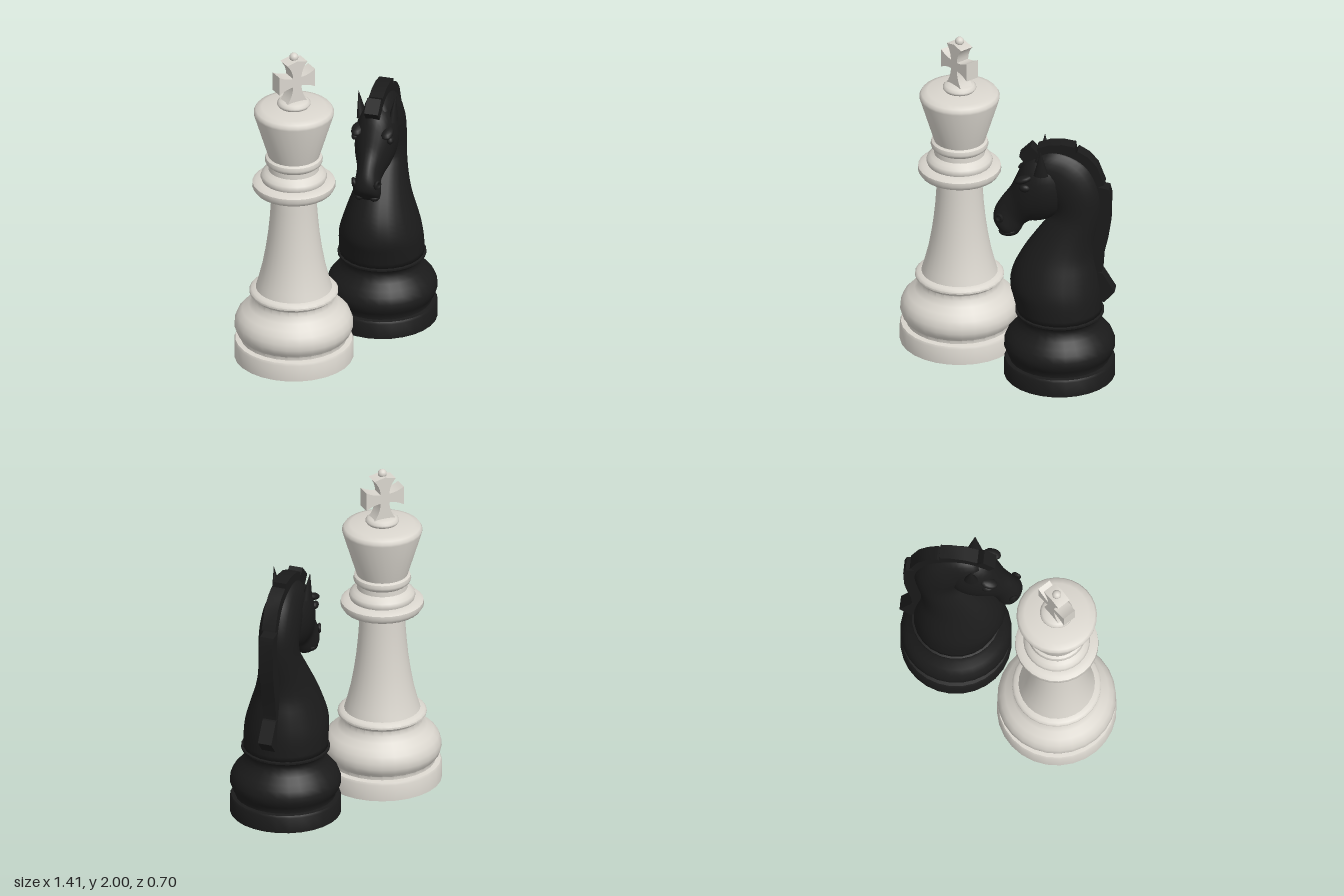
import * as THREE from 'three';
import { toCreasedNormals } from 'three/addons/utils/BufferGeometryUtils.js';

const ivory = new THREE.MeshStandardMaterial({ color: 0xdad6ce });
ivory.name = 'ivory';
const ebony = new THREE.MeshStandardMaterial({ color: 0x1b1b1b });
ebony.name = 'ebony';
const felt = new THREE.MeshStandardMaterial({ color: 0x3a372f });
felt.name = 'felt';

function add(parent, name, geometry, material, x = 0, y = 0, z = 0) {
  const mesh = new THREE.Mesh(geometry, material);
  mesh.name = name;
  mesh.position.set(x, y, z);
  parent.add(mesh);
  return mesh;
}

// Turned part from [radius, height] pairs, bottom to top
function turned(profile) {
  const points = profile.map(([r, y]) => new THREE.Vector2(r, y));
  return toCreasedNormals(new THREE.LatheGeometry(points, 28), 0.75);
}

// Smooth body through elliptical sections [topX, topY, bottomX, bottomY, halfWidth]
function loft(sections, sides = 24, steps = 3) {
  const tops = new THREE.CatmullRomCurve3(
    sections.map((s) => new THREE.Vector3(s[0], s[1], s[4])), false, 'catmullrom');
  const bottoms = new THREE.CatmullRomCurve3(
    sections.map((s) => new THREE.Vector3(s[2], s[3], 0)), false, 'catmullrom');
  const rings = (sections.length - 1) * steps;
  const positions = [], index = [], caps = [];
  for (let i = 0; i <= rings; i++) {
    const p = tops.getPoint(i / rings), q = bottoms.getPoint(i / rings);
    const cx = (p.x + q.x) / 2, cy = (p.y + q.y) / 2;
    if (i === 0 || i === rings) caps.push(cx, cy, 0);
    for (let j = 0; j < sides; j++) {
      const a = (j / sides) * Math.PI * 2, c = Math.cos(a);
      positions.push(cx + c * (p.x - cx), cy + c * (p.y - cy), Math.sin(a) * p.z);
      const k = i * sides + j, n = i * sides + ((j + 1) % sides);
      if (i < rings) index.push(k, n, k + sides, n, n + sides, k + sides);
    }
  }
  const first = positions.length / 3, last = rings * sides;
  positions.push(...caps);
  for (let j = 0; j < sides; j++) {
    const n = (j + 1) % sides;
    index.push(first, n, j, first + 1, last + j, last + n);
  }
  const geometry = new THREE.BufferGeometry();
  geometry.setAttribute('position', new THREE.Float32BufferAttribute(positions, 3));
  geometry.setIndex(index);
  geometry.computeVertexNormals();
  return geometry;
}

function slab(shape, depth) {
  const g = new THREE.ExtrudeGeometry(shape, { depth, bevelEnabled: false, curveSegments: 6 });
  g.translate(0, 0, -depth / 2);
  return toCreasedNormals(g, 0.5);
}

function feltPad(parent, radius) {
  add(parent, 'feltPad', new THREE.CircleGeometry(radius, 28), felt).rotation.x = Math.PI / 2;
}

function makeKing() {
  const king = new THREE.Group();
  king.name = 'king';
  feltPad(king, 0.352);
  add(king, 'kingBase', turned([
    [0.352, 0], [0.352, 0.1], [0.345, 0.115], [0.315, 0.12], [0.315, 0.14], [0.338, 0.165],
    [0.35, 0.2], [0.348, 0.235], [0.333, 0.275], [0.305, 0.305], [0.265, 0.335], [0.24, 0.365],
    [0.235, 0.395], [0.245, 0.41], [0.262, 0.42], [0.262, 0.432], [0.25, 0.445], [0.225, 0.452],
  ]), ivory);
  add(king, 'kingShaft', turned([
    [0.225, 0.45], [0.21, 0.5], [0.185, 0.6], [0.167, 0.7], [0.153, 0.8], [0.143, 0.9],
    [0.136, 1], [0.132, 1.1],
  ]), ivory);
  add(king, 'kingCollar', turned([
    [0.13, 1.085], [0.2, 1.088], [0.23, 1.1], [0.246, 1.125], [0.244, 1.15], [0.225, 1.163],
    [0.19, 1.168], [0.196, 1.185], [0.19, 1.205], [0.17, 1.22], [0.15, 1.235], [0.148, 1.265],
    [0.166, 1.28], [0.171, 1.295], [0.166, 1.315], [0.15, 1.325],
  ]), ivory);
  add(king, 'kingHead', turned([
    [0.15, 1.32], [0.236, 1.6], [0.237, 1.615], [0.225, 1.633], [0.19, 1.645], [0.09, 1.653],
    [0.099, 1.665], [0.098, 1.675], [0.085, 1.688], [0.06, 1.695], [0, 1.7],
  ]), ivory);

  // Flared cross with concave arms
  const s = new THREE.Shape();
  s.moveTo(0.068, 0.122);
  s.quadraticCurveTo(0.03, 0.08, 0.028, 0.028);
  s.quadraticCurveTo(0.075, 0.03, 0.12, 0.058);
  s.lineTo(0.12, -0.058);
  s.quadraticCurveTo(0.075, -0.03, 0.028, -0.028);
  s.quadraticCurveTo(0.03, -0.085, 0.066, -0.135);
  s.lineTo(-0.066, -0.135);
  s.quadraticCurveTo(-0.03, -0.085, -0.028, -0.028);
  s.quadraticCurveTo(-0.075, -0.03, -0.12, -0.058);
  s.lineTo(-0.12, 0.058);
  s.quadraticCurveTo(-0.075, 0.03, -0.028, 0.028);
  s.quadraticCurveTo(-0.03, 0.08, -0.068, 0.122);
  s.lineTo(0, 0.138);
  add(king, 'cross', slab(s, 0.085), ivory, 0, 1.825, 0).rotation.y = -0.27;
  add(king, 'crossBall', new THREE.SphereGeometry(0.027, 14, 10), ivory, 0, 1.973, 0);
  return king;
}

// Built with the nose towards local +x
function makeKnight() {
  const knight = new THREE.Group();
  knight.name = 'knight';
  feltPad(knight, 0.328);
  add(knight, 'knightBase', turned([
    [0.328, 0], [0.328, 0.095], [0.32, 0.108], [0.297, 0.112], [0.297, 0.13], [0.315, 0.155],
    [0.328, 0.19], [0.327, 0.22], [0.312, 0.26], [0.287, 0.29], [0.255, 0.325], [0.236, 0.355],
    [0.232, 0.38], [0.243, 0.4], [0.262, 0.412], [0.262, 0.422], [0.24, 0.428], [0, 0.43],
  ]), ebony);

  add(knight, 'neck', loft([
    [-0.25, 0.42, 0.25, 0.42, 0.25], [-0.25, 0.52, 0.275, 0.52, 0.25],
    [-0.245, 0.6, 0.293, 0.6, 0.24], [-0.23, 0.7, 0.273, 0.7, 0.21],
    [-0.21, 0.8, 0.225, 0.8, 0.176], [-0.215, 0.9, 0.16, 0.9, 0.148],
    [-0.235, 1, 0.088, 1, 0.126], [-0.25, 1.1, 0.05, 1.05, 0.116],
    [-0.25, 1.2, 0.04, 1.1, 0.115], [-0.225, 1.3, 0.06, 1.15, 0.115],
    [-0.17, 1.4, 0.09, 1.18, 0.11], [-0.08, 1.465, 0.12, 1.2, 0.1],
    [0.03, 1.49, 0.15, 1.22, 0.095], [0.13, 1.46, 0.18, 1.28, 0.07],
  ]), ebony);

  add(knight, 'head', loft([
    [-0.05, 1.33, -0.03, 1.17, 0.06], [0.03, 1.43, 0, 1.075, 0.108],
    [0.12, 1.45, 0.06, 1.03, 0.126], [0.2, 1.405, 0.12, 1.01, 0.12],
    [0.25, 1.31, 0.17, 1.005, 0.104], [0.29, 1.22, 0.2, 0.985, 0.083],
    [0.34, 1.15, 0.215, 0.965, 0.073], [0.375, 1.09, 0.23, 0.935, 0.078],
    [0.39, 1.04, 0.25, 0.91, 0.083], [0.39, 1, 0.28, 0.898, 0.072],
    [0.37, 0.965, 0.31, 0.91, 0.045],
  ]), ebony);

  // Paired features of the face
  for (const side of [-1, 1]) {
    const ear = add(knight, 'ear', new THREE.ConeGeometry(0.045, 0.17, 10), ebony, 0.1, 1.435, side * 0.105);
    ear.scale.z = 0.65;
    ear.rotation.x = side * 0.12;
    const eye = add(knight, 'eye', new THREE.SphereGeometry(0.03, 12, 8), ebony, 0.195, 1.265, side * 0.108);
    eye.scale.set(1.1, 0.8, 0.7);
    const brow = add(knight, 'brow', new THREE.SphereGeometry(0.055, 12, 8), ebony, 0.205, 1.315, side * 0.092);
    brow.scale.set(1, 0.4, 0.65);
    brow.rotation.z = -0.35;
    const nostril = add(knight, 'nostril', new THREE.TorusGeometry(0.02, 0.01, 6, 12), ebony, 0.35, 1.04, side * 0.073);
    nostril.rotation.y = side * 0.45;
    const lip = add(knight, 'lip', new THREE.SphereGeometry(0.04, 12, 8), ebony, 0.305, 0.94, side * 0.045);
    lip.scale.set(1.3, 0.7, 0.8);
  }

  // Mane blocks along the crest, as side outlines
  const mane = [
    [[0.1, 1.42], [0.2, 1.39], [0.235, 1.44], [0.165, 1.51], [0.135, 1.48]],
    [[0.12, 1.42], [0.13, 1.5], [0.06, 1.525], [-0.02, 1.532], [-0.095, 1.52], [-0.1, 1.42]],
    [[-0.06, 1.42], [-0.11, 1.495], [-0.17, 1.46], [-0.225, 1.4], [-0.27, 1.28], [-0.2, 1.25]],
    [[-0.2, 1.27], [-0.295, 1.25], [-0.308, 1.2], [-0.303, 1.02], [-0.285, 0.9], [-0.262, 0.8],
      [-0.255, 0.7], [-0.18, 0.7], [-0.18, 1]],
    [[-0.2, 0.71], [-0.258, 0.69], [-0.33, 0.57], [-0.268, 0.5], [-0.2, 0.52]],
  ];
  for (const outline of mane) {
    const shape = new THREE.Shape(outline.map(([x, y]) => new THREE.Vector2(x, y)));
    add(knight, 'maneBlock', slab(shape, 0.085), ebony);
  }
  knight.rotation.y = Math.PI + 0.512;
  return knight;
}

export function createModel() {
  const model = new THREE.Group();
  model.name = 'chessPieces';
  const king = makeKing();
  king.position.x = -0.354;
  const knight = makeKnight();
  knight.position.x = 0.374;
  model.add(king, knight);
  return model;
}
